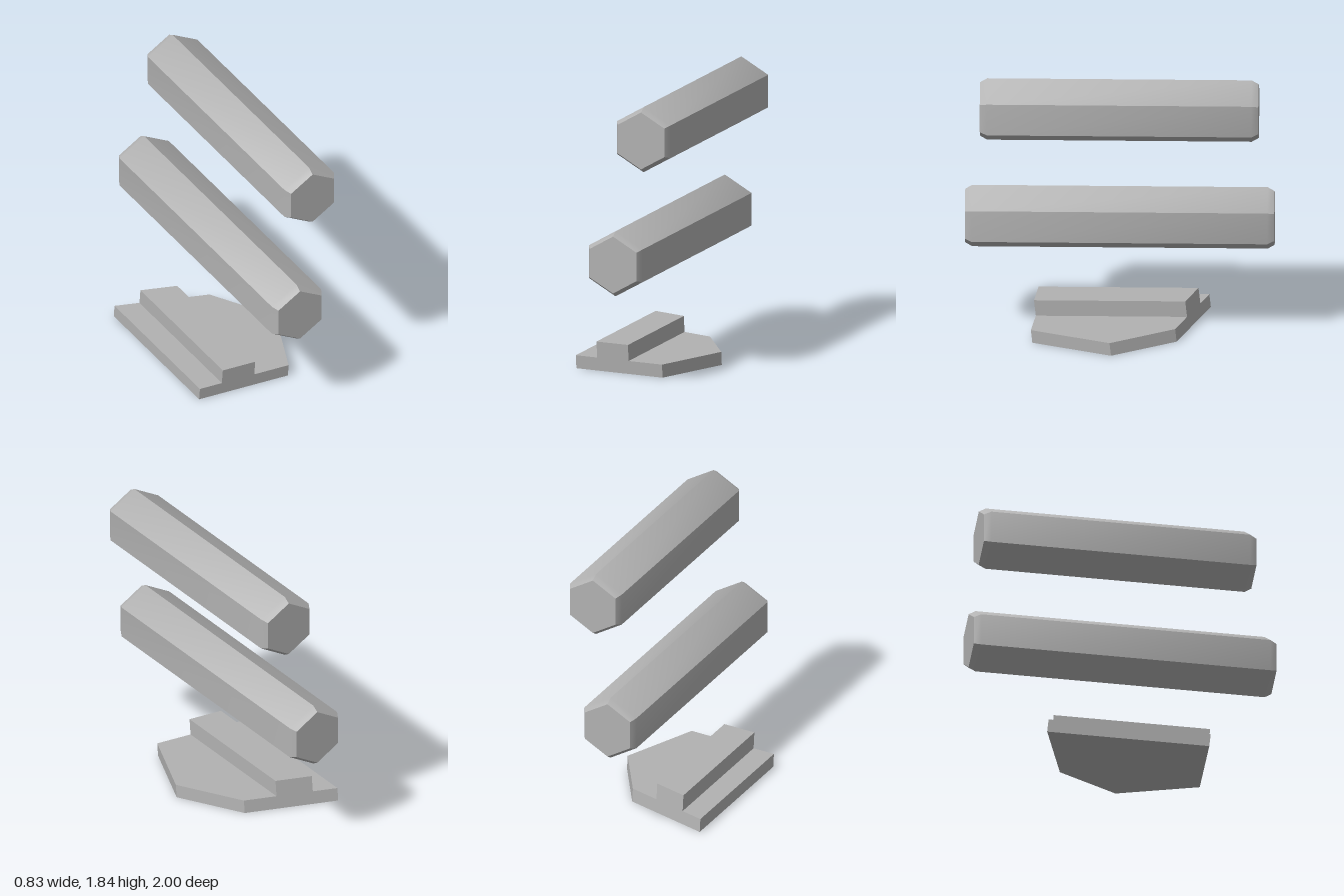
import * as THREE from 'three';
import { toCreasedNormals } from 'three/addons/utils/BufferGeometryUtils.js';

const RADIUS = 0.215, END_RADIUS = 0.188, BEVEL = 0.045;
const PLATE_TOP = 0.088, RIDGE_TOP = 0.196;

// Hexagonal bar along z with bevelled ends
function hexBar(name, x, y, halfLength, material) {
  const profile = [
    [0, -halfLength], [END_RADIUS, -halfLength], [RADIUS, -halfLength + BEVEL],
    [RADIUS, halfLength - BEVEL], [END_RADIUS, halfLength], [0, halfLength],
  ].map(([r, h]) => new THREE.Vector2(r, h));
  const geometry = new THREE.LatheGeometry(profile, 6).rotateX(Math.PI / 2);
  const bar = new THREE.Mesh(toCreasedNormals(geometry, 0.65), material);
  bar.name = name;
  bar.position.set(x, y, 0);
  return bar;
}

// Slab from an (x, z) outline, its ends leaning slightly with height
function leaningSlab(name, outline, bottom, top, material) {
  const shape = new THREE.Shape(outline.map(([x, z]) => new THREE.Vector2(x, -z)));
  const geometry = new THREE.ExtrudeGeometry(shape, { depth: top - bottom, bevelEnabled: false });
  geometry.rotateX(-Math.PI / 2).translate(0, bottom, 0);
  const p = geometry.attributes.position;
  for (let i = 0; i < p.count; i++) p.setZ(i, p.getZ(i) + 0.11 * (p.getY(i) - PLATE_TOP));
  geometry.computeVertexNormals();
  const slab = new THREE.Mesh(geometry, material);
  slab.name = name;
  return slab;
}

export function createModel() {
  const grey = new THREE.MeshStandardMaterial({ color: 0xb2b2b2 });
  grey.name = 'grey';
  const model = new THREE.Group();
  model.name = 'barsAndRail';

  model.add(hexBar('upperBar', 0.191, 1.628, 0.9, grey));
  model.add(hexBar('lowerBar', 0.036, 0.816, 1, grey));

  // Slanted front and back edges shared by plate and ridge
  const frontZ = (x) => 0.503 + (x + 0.42) * 0.111;
  const backZ = (x) => -0.568 + (x + 0.42) * 0.354;

  const rail = new THREE.Group();
  rail.name = 'rail';
  const plate = [
    [-0.42, frontZ(-0.42)], [0.207, frontZ(0.207)], [0.415, 0.06],
    [0.17, backZ(0.17)], [-0.42, backZ(-0.42)],
  ];
  const ridge = [
    [-0.265, frontZ(-0.265)], [-0.036, frontZ(-0.036)],
    [-0.036, backZ(-0.036)], [-0.265, backZ(-0.265)],
  ];
  rail.add(leaningSlab('plate', plate, 0, PLATE_TOP, grey));
  rail.add(leaningSlab('ridge', ridge, PLATE_TOP, RIDGE_TOP, grey));
  model.add(rail);
  return model;
}
